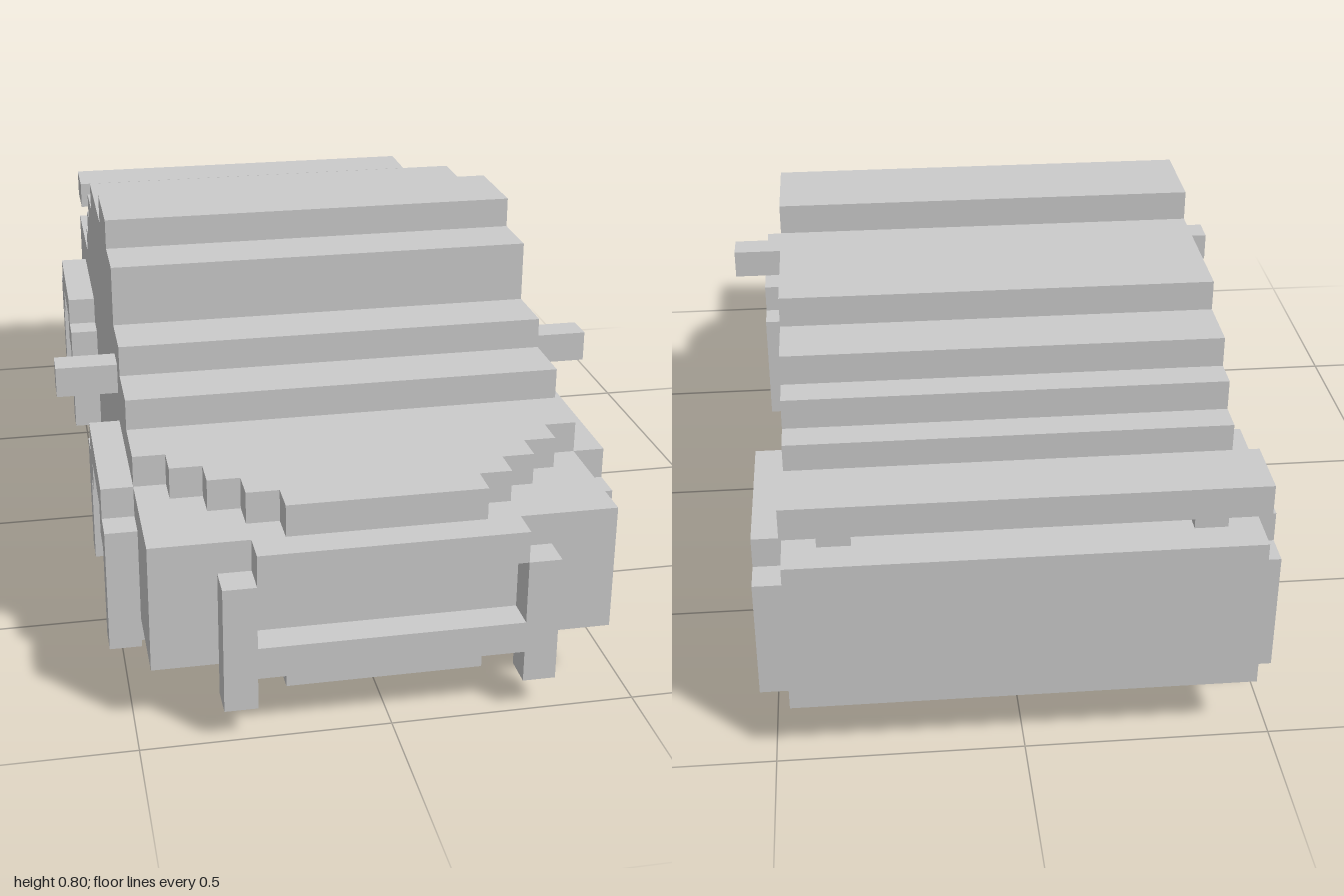
import * as THREE from 'three';

const U = 1 / 15; // one block of the grid
const material = new THREE.MeshStandardMaterial({ color: 0xcccccc, flatShading: true });

function addMesh(parent, name, geometry) {
  const mesh = new THREE.Mesh(geometry, material);
  mesh.name = name;
  parent.add(mesh);
  return mesh;
}

// Box given by its ranges in blocks
function block(parent, name, [x0, x1], [y0, y1], [z0, z1]) {
  const geometry = new THREE.BoxGeometry((x1 - x0) * U, (y1 - y0) * U, (z1 - z0) * U);
  geometry.translate((x0 + x1) / 2 * U, (y0 + y1) / 2 * U, (z0 + z1) / 2 * U);
  return addMesh(parent, name, geometry);
}

function outline(points) {
  return new THREE.Shape(points.map(([a, b]) => new THREE.Vector2(a * U, b * U)));
}

// Side outline of [z, y] points, extruded across from x0 to x1
function sideExtrude(points, x0, x1) {
  const shape = outline(points.map(([z, y]) => [-z, y]));
  return new THREE.ExtrudeGeometry(shape, { depth: (x1 - x0) * U, bevelEnabled: false })
    .rotateY(Math.PI / 2).translate(x0 * U, 0, 0);
}

// Plan outline of [x, z] points, one block thick, with its top at the given height
function planExtrude(points, top) {
  return new THREE.ExtrudeGeometry(outline(points), { depth: U, bevelEnabled: false })
    .rotateX(Math.PI / 2).translate(0, top * U, 0);
}

export function createModel() {
  const car = new THREE.Group();
  car.name = 'blockCar';

  // Body with stepped windscreen, roof and rear window
  addMesh(car, 'body', sideExtrude([
    [-13, 1], [10, 1], [10, 2], [14, 2], [14, 6], [10, 6], [10, 7], [8, 7], [8, 8], [6, 8],
    [6, 9], [4, 9], [4, 11], [2, 11], [2, 12], [-1, 12], [-1, 11], [-6, 11], [-6, 10], [-8, 10],
    [-8, 9], [-9, 9], [-9, 8], [-10, 8], [-10, 7], [-15, 7], [-15, 2], [-13, 2],
  ], -7, 7));

  // Hood and underside taper in steps toward the nose
  const right = [];
  for (let i = 0; i < 4; i++) right.push([6 - i, 10 + i], [6 - i, 11 + i]);
  const left = right.map(([x, z]) => [-x, z]).reverse();
  addMesh(car, 'hood', planExtrude([...right, ...left], 7));
  addMesh(car, 'noseUnderside', planExtrude([...right, ...left], 2));

  // Front bumper frame
  const bumper = new THREE.Group();
  bumper.name = 'frontBumper';
  car.add(bumper);
  block(bumper, 'upperBar', [-4, 4], [5, 6], [14, 15]);
  block(bumper, 'lowerBar', [-4, 4], [2, 3], [14, 15]);

  // Spoiler blade
  block(car, 'spoilerBlade', [-7, 7], [8, 9], [-15, -13]);

  // Parts repeated on both sides
  for (const [side, s] of [['left', 1], ['right', -1]]) {
    const span = (a, b) => (s > 0 ? [a, b] : [-b, -a]);
    block(bumper, side + 'BumperPost', span(4, 5), [1, 5], [14, 15]);
    block(car, side + 'Mirror', span(7, 9), [7, 8], [4, 5]);
    block(car, side + 'SpoilerPost', span(5, 6), [7, 8], [-14, -13]);

    for (const [end, c] of [['Front', 7.5], ['Rear', -9.5]]) {
      block(car, side + end + 'Wheel', span(6, 7), [0, 1], [c - 1.5, c + 1.5]);
      const half = [[1.5, 5], [1.5, 4], [2.5, 4], [2.5, 1], [3.5, 1], [3.5, 5], [2.5, 5], [2.5, 6]];
      const arch = [
        ...half.map(([z, y]) => [c + z, y]),
        ...half.map(([z, y]) => [c - z, y]).reverse(),
      ];
      addMesh(car, side + end + 'WheelArch', sideExtrude(arch, ...span(7, 8)));
    }
  }
  return car;
}
